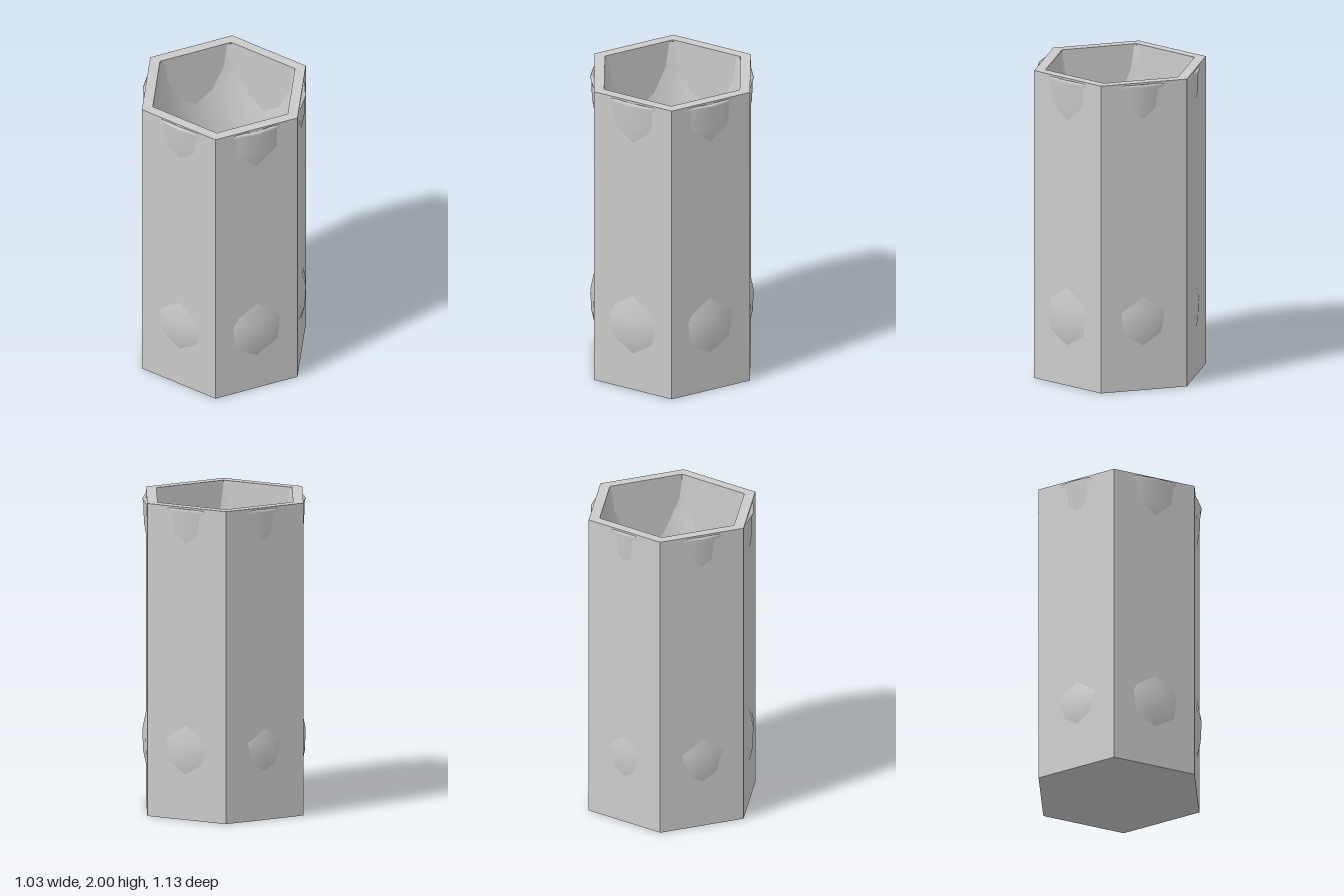
import * as THREE from 'three';

const grey = () => new THREE.MeshStandardMaterial({ color: 0xcccccc });

// Pointy hexagon, one corner on the z axis
function hexagon(path, radius) {
  for (let i = 0; i < 6; i++) {
    const a = Math.PI / 2 + (i * Math.PI) / 3;
    const x = radius * Math.cos(a), y = radius * Math.sin(a);
    if (i === 0) path.moveTo(x, y); else path.lineTo(x, y);
  }
  path.closePath();
  return path;
}

function hexPrism(name, radius, holeRadius, y, height) {
  const shape = hexagon(new THREE.Shape(), radius);
  if (holeRadius) shape.holes.push(hexagon(new THREE.Path(), holeRadius));
  const geometry = new THREE.ExtrudeGeometry(shape, { depth: height, bevelEnabled: false });
  geometry.rotateX(-Math.PI / 2);
  geometry.translate(0, y, 0);
  const mesh = new THREE.Mesh(geometry, grey());
  mesh.name = name;
  return mesh;
}

export function createModel() {
  const group = new THREE.Group();
  group.name = 'hexagonalVase';

  // Hexagonal sleeve with a closed base
  const floor = 0.06;
  group.add(hexPrism('sleeveBase', 0.567, 0, 0, floor));
  group.add(hexPrism('sleeveWall', 0.567, 0.492, floor, 2 - floor));

  // Round vase inside: its belly and lip bulge through the flat walls
  const profile = [
    // outside, foot to lip
    [0, 0.07], [0.4, 0.07], [0.445, 0.16], [0.484, 0.25], [0.508, 0.36],
    [0.514, 0.5], [0.484, 0.65], [0.45, 0.83], [0.425, 1.05], [0.417, 1.2],
    [0.425, 1.36], [0.45, 1.54], [0.484, 1.71], [0.504, 1.83], [0.506, 1.955],
    [0.515, 1.975], [0.508, 1.988],
    // inside, lip to floor
    [0.487, 1.988], [0.478, 1.83], [0.455, 1.71], [0.422, 1.54], [0.398, 1.36],
    [0.39, 1.2], [0.398, 1.05], [0.422, 0.83], [0.455, 0.65], [0.485, 0.5],
    [0.478, 0.36], [0.44, 0.24], [0.36, 0.16], [0.22, 0.12], [0, 0.11],
  ].map(([r, y]) => new THREE.Vector2(r, y));
  const vase = new THREE.Mesh(new THREE.LatheGeometry(profile, 24), grey());
  vase.name = 'innerVase';
  vase.position.set(-0.002, 0, 0.0065);
  group.add(vase);

  return group;
}
